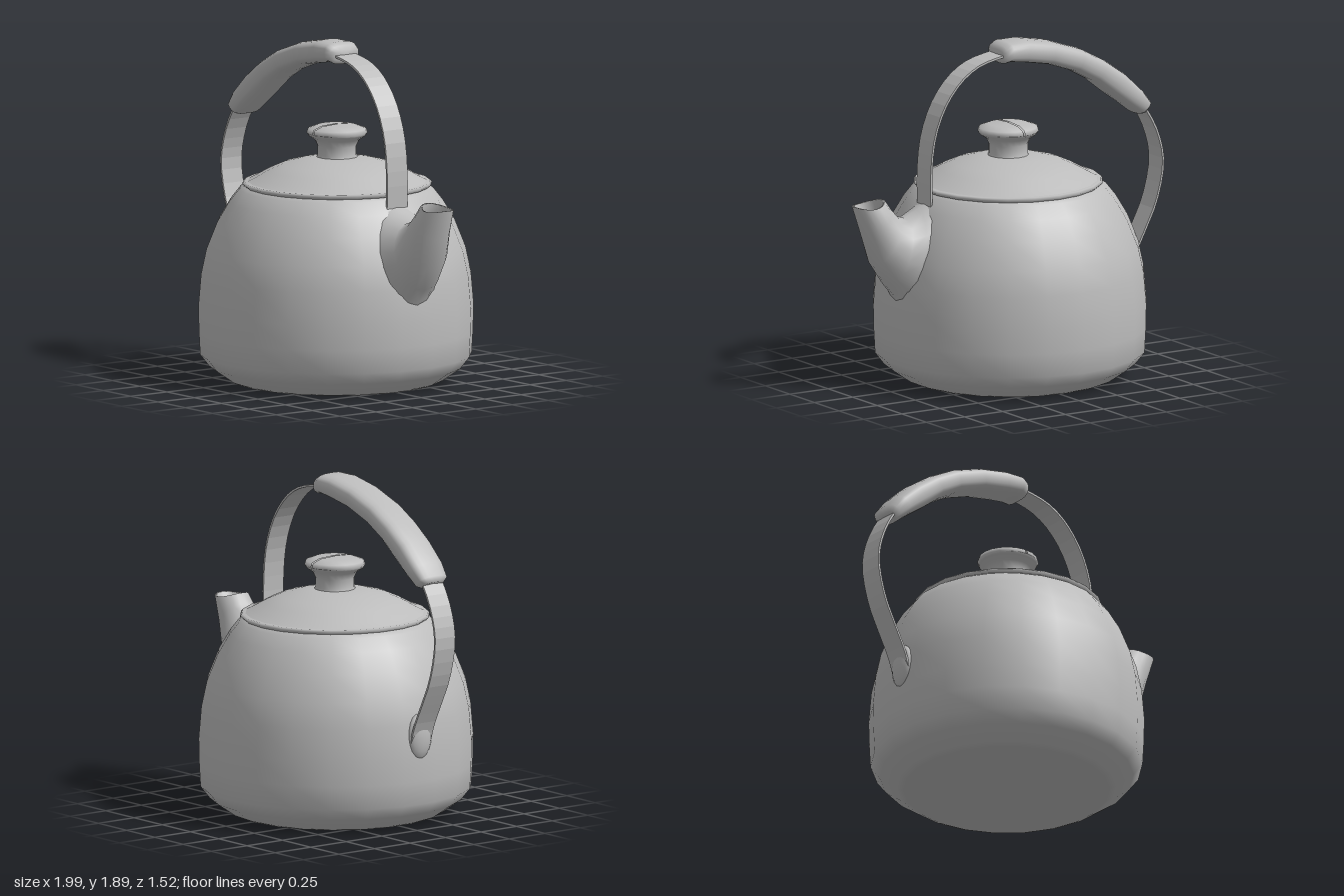
import * as THREE from 'three';

const enamel = new THREE.MeshStandardMaterial({ color: 0xbcbcbc, side: THREE.DoubleSide });
enamel.name = 'grey enamel';

const vec2 = (list) => list.map(([x, y]) => new THREE.Vector2(x, y));

function add(parent, name, geometry, x = 0) {
  const mesh = new THREE.Mesh(geometry, enamel);
  mesh.name = name;
  mesh.position.x = x;
  parent.add(mesh);
  return mesh;
}

// Skin over rings; each ring is [upperX, upperY, lowerX, lowerY, halfWidth, dip]
function loft(rings, sides, power = 1) {
  const pos = [], index = [];
  const soft = (v) => Math.sign(v) * Math.pow(Math.abs(v), power);
  rings.forEach(([ux, uy, lx, ly, w, dip = 0], i) => {
    for (let j = 0; j < sides; j++) {
      const a = (j / sides) * Math.PI * 2;
      const c = soft(Math.cos(a)), s = soft(Math.sin(a));
      pos.push((ux + lx) / 2 + (ux - lx) / 2 * c, (uy + ly) / 2 + (uy - ly) / 2 * c - dip * s * s, w * s);
      if (i === rings.length - 1) continue;
      const p = i * sides + j, q = i * sides + (j + 1) % sides;
      index.push(p, q, p + sides, q, q + sides, p + sides);
    }
  });
  const g = new THREE.BufferGeometry();
  g.setAttribute('position', new THREE.Float32BufferAttribute(pos, 3));
  g.setIndex(index);
  g.computeVertexNormals();
  return g;
}

// Flat metal band that follows a curve in the xy plane
function band(points, thickness, width) {
  const curve = new THREE.SplineCurve(vec2(points));
  const outer = [], inner = [], n = 44;
  for (let i = 0; i <= n; i++) {
    const p = curve.getPoint(i / n), t = curve.getTangent(i / n);
    const side = new THREE.Vector2(-t.y, t.x).multiplyScalar(thickness / 2);
    outer.push(p.clone().add(side));
    inner.unshift(p.clone().sub(side));
  }
  const g = new THREE.ExtrudeGeometry(new THREE.Shape([...outer, ...inner]), { depth: width, bevelEnabled: false });
  return g.translate(0, 0, -width / 2);
}

export function createModel() {
  const kettle = new THREE.Group();
  kettle.name = 'kettle';

  // Round body
  add(kettle, 'body', new THREE.LatheGeometry(vec2([
    [0, 0], [0.57, 0.002], [0.6, 0.015], [0.7, 0.085], [0.75, 0.15], [0.757, 0.28], [0.76, 0.42],
    [0.745, 0.6], [0.715, 0.74], [0.655, 0.89], [0.59, 1.0], [0.535, 1.07], [0.5, 1.09],
  ]), 22), -0.03);

  // Lid with a thin rim
  add(kettle, 'lidRim', new THREE.LatheGeometry(vec2([
    [0.48, 1.08], [0.51, 1.086], [0.525, 1.1], [0.515, 1.112], [0.48, 1.114],
  ]), 22), -0.02);
  add(kettle, 'lid', new THREE.LatheGeometry(vec2([
    [0.505, 1.108], [0.45, 1.135], [0.38, 1.175], [0.3, 1.21], [0.2, 1.235], [0.12, 1.248], [0, 1.25],
  ]), 22), -0.02);

  // Knob: flared neck and a cap split by a narrow slot
  const knob = new THREE.Group();
  knob.name = 'knob';
  knob.position.x = -0.02;
  kettle.add(knob);
  add(knob, 'knobNeck', new THREE.LatheGeometry(vec2([
    [0.118, 1.235], [0.108, 1.26], [0.108, 1.31], [0.125, 1.345], [0.16, 1.368], [0.166, 1.38],
  ]), 20));
  add(knob, 'knobCore', new THREE.LatheGeometry(vec2([[0.162, 1.38], [0.13, 1.4], [0, 1.408]]), 20));
  for (const side of [1, -1]) {
    add(knob, 'knobCapHalf', new THREE.LatheGeometry(vec2([
      [0.15, 1.365], [0.165, 1.382], [0.158, 1.405], [0.105, 1.424], [0, 1.43],
    ]), 10, side > 0 ? 0 : Math.PI, Math.PI), side * 0.005);
  }

  // Hollow spout that flares into the body
  add(kettle, 'spout', loft([
    [0.46, 1.07, 0.69, 0.46, 0.21],
    [0.58, 1.01, 0.73, 0.54, 0.185],
    [0.66, 0.97, 0.78, 0.6, 0.16],
    [0.72, 0.99, 0.87, 0.73, 0.135],
    [0.765, 1.04, 0.93, 0.9, 0.108],
    [0.8, 1.092, 0.99, 1.07, 0.092, 0.015],
    [0.815, 1.088, 0.975, 1.068, 0.08, 0.015],
    [0.79, 1.0, 0.9, 0.91, 0.075],
    [0.75, 0.93, 0.83, 0.8, 0.07],
    [0.78, 0.86, 0.78, 0.86, 0],
  ], 18));

  // Arched strap, with a lug where it meets the back of the body
  add(kettle, 'handleStrap', band([
    [-0.77, 0.48], [-0.81, 0.6], [-0.88, 0.74], [-0.95, 0.89], [-0.992, 1.08], [-0.97, 1.23], [-0.9, 1.38],
    [-0.78, 1.53], [-0.58, 1.69], [-0.3, 1.79], [-0.05, 1.825], [0.08, 1.815], [0.22, 1.78], [0.34, 1.7],
    [0.44, 1.57], [0.505, 1.4], [0.528, 1.2], [0.525, 1.0],
  ], 0.012, 0.14));
  const lug = add(kettle, 'handleLug', new THREE.SphereGeometry(1, 16, 10), -0.765);
  lug.scale.set(0.045, 0.13, 0.08);
  lug.position.y = 0.53;

  // Padded grip on the upper part of the strap
  add(kettle, 'handleGrip', loft([
    [-0.89, 1.41, -0.89, 1.41, 0],
    [-0.91, 1.42, -0.86, 1.38, 0.07],
    [-0.912, 1.455, -0.835, 1.385, 0.1],
    [-0.86, 1.52, -0.765, 1.44, 0.112],
    [-0.75, 1.625, -0.66, 1.515, 0.112],
    [-0.62, 1.715, -0.545, 1.605, 0.112],
    [-0.47, 1.795, -0.42, 1.675, 0.112],
    [-0.28, 1.86, -0.25, 1.735, 0.112],
    [-0.1, 1.893, -0.09, 1.765, 0.112],
    [0.01, 1.892, 0.01, 1.78, 0.112],
    [0.045, 1.875, 0.045, 1.772, 0.1],
    [0.058, 1.85, 0.056, 1.79, 0.07],
    [0.06, 1.82, 0.06, 1.82, 0],
  ], 20, 0.7));

  return kettle;
}
